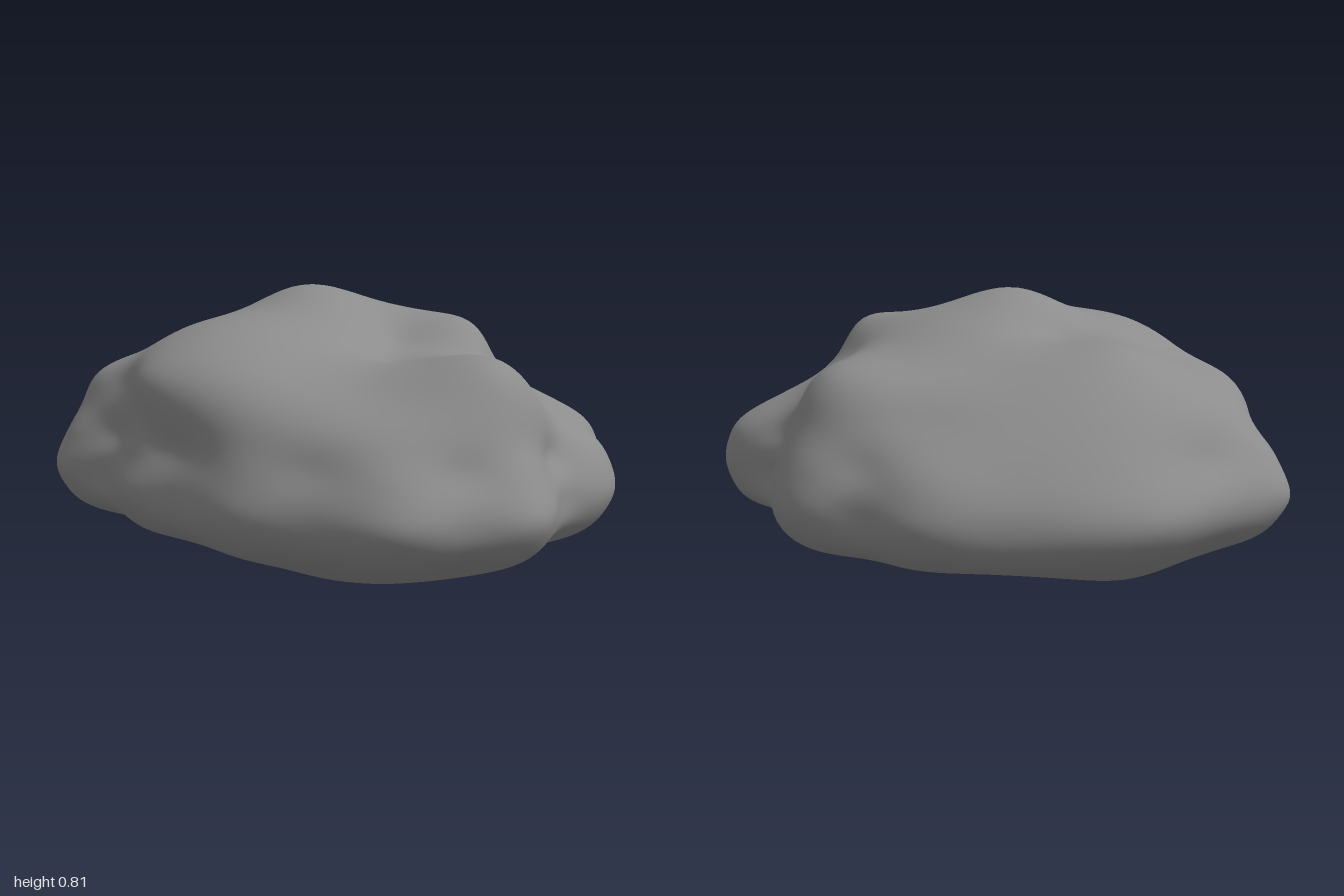
import * as THREE from 'three';
import { mergeVertices } from 'three/addons/utils/BufferGeometryUtils.js';

const CENTRE = new THREE.Vector3(0, 0.36, 0);
const RADII = new THREE.Vector3(0.76, 0.4, 0.97);

// Widest outline, x and z, clockwise from the back
const OUTLINE = [
  [0, -1], [0.18, -0.97], [0.4, -0.86], [0.6, -0.7], [0.67, -0.55], [0.75, -0.44],
  [0.78, -0.3], [0.74, -0.12], [0.68, 0.05], [0.73, 0.25], [0.7, 0.45], [0.5, 0.6],
  [0.4, 0.78], [0.23, 0.87], [0.08, 0.88], [-0.04, 0.97], [-0.15, 1], [-0.3, 0.94],
  [-0.48, 0.87], [-0.6, 0.68], [-0.71, 0.48], [-0.73, 0.33], [-0.75, 0.15], [-0.78, 0],
  [-0.74, -0.19], [-0.78, -0.39], [-0.72, -0.55], [-0.59, -0.7], [-0.51, -0.87], [-0.43, -0.91],
  [-0.24, -0.94],
];

// The side wall repeats the outline: height and scale of each level
const WALL = [[0.13, 0.9], [0.26, 1], [0.38, 0.945]];

// Humps and hollows of the upper side
const CROWN = [
  // summit and the step behind it
  [-0.05, 0.81, -0.1], [0.18, 0.75, -0.12], [-0.24, 0.75, -0.12], [-0.05, 0.765, 0.08],
  [-0.05, 0.76, -0.27], [-0.05, 0.675, -0.4], [0.05, 0.67, 0.2],
  // left shoulder
  [-0.45, 0.71, 0.08], [-0.47, 0.7, -0.12], [-0.6, 0.66, 0.05], [-0.71, 0.57, 0],
  [-0.61, 0.6, 0.28], [-0.4, 0.62, 0.38],
  // front hump
  [-0.1, 0.655, 0.68], [-0.1, 0.62, 0.48], [-0.12, 0.61, 0.83],
  [-0.35, 0.57, 0.6], [-0.48, 0.48, 0.68],
  // slanting ridge and the slope below it
  [0.25, 0.71, 0.28], [0.1, 0.62, 0.42], [0.22, 0.55, 0.48], [0.36, 0.5, 0.46],
  [0.55, 0.47, 0.3], [0.41, 0.61, 0.08], [0.57, 0.49, 0.07],
  // right shoulder
  [0.45, 0.635, -0.25], [0.58, 0.61, -0.25], [0.66, 0.53, -0.28],
  // back hump and slope
  [-0.08, 0.675, -0.58], [0.25, 0.61, -0.55], [0.48, 0.5, -0.56], [0, 0.61, -0.74],
  [0.25, 0.5, -0.76], [-0.4, 0.62, -0.4], [-0.38, 0.55, -0.68], [-0.64, 0.54, -0.4],
  [-0.66, 0.53, -0.18],
];

// Nearly flat underside
const UNDERSIDE = [
  [-0.3, 0.01, 0.4], [0, 0.03, 0.2], [0.35, 0.04, 0.35], [-0.2, 0.02, -0.1], [0.28, 0.005, -0.1],
  [0.1, 0.04, -0.4], [-0.05, 0.025, -0.65], [0.35, 0.09, -0.6], [0.58, 0.1, -0.3],
  [0.53, 0.12, 0.08], [0.2, 0.08, 0.65], [-0.15, 0.08, 0.78], [-0.53, 0.08, 0.35],
  [-0.58, 0.09, 0], [-0.53, 0.09, -0.4], [-0.33, 0.07, -0.68],
];

// Smooth falloff between two directions
const kernel = (a, b) => Math.sqrt(a.distanceToSquared(b) + 0.015);

// Solves a square system whose rows end with the right-hand side
function solve(rows) {
  const n = rows.length;
  for (let c = 0; c < n; c++) {
    let best = c;
    for (let r = c + 1; r < n; r++) if (Math.abs(rows[r][c]) > Math.abs(rows[best][c])) best = r;
    [rows[c], rows[best]] = [rows[best], rows[c]];
    for (let r = 0; r < n; r++) {
      if (r === c) continue;
      const f = rows[r][c] / rows[c][c];
      for (let k = c; k <= n; k++) rows[r][k] -= f * rows[c][k];
    }
  }
  return rows.map((row, i) => row[n] / row[i]);
}

// Swelling of the ellipsoid in any direction, passing through all the guide points
function makeSwelling() {
  const wall = WALL.flatMap(([y, s]) => OUTLINE.map(([x, z]) => [x * s, y, z * s]));
  const guides = [...wall, ...CROWN, ...UNDERSIDE].map((p) =>
    new THREE.Vector3(...p).sub(CENTRE).divide(RADII));
  const offsets = guides.map((g) => g.length() - 1);
  guides.forEach((g) => g.normalize());
  const weights = solve(guides.map((a, i) => [...guides.map((b) => kernel(a, b)), offsets[i]]));
  return (dir) => guides.reduce((sum, g, i) => sum + weights[i] * kernel(dir, g), 1);
}

export function createModel() {
  // Even sphere, each vertex pushed out to the skin
  let geometry = new THREE.IcosahedronGeometry(1, 30);
  geometry.deleteAttribute('uv');
  geometry.deleteAttribute('normal');
  geometry = mergeVertices(geometry);
  const pos = geometry.attributes.position;
  const swelling = makeSwelling();
  const v = new THREE.Vector3();
  for (let i = 0; i < pos.count; i++) {
    v.fromBufferAttribute(pos, i).normalize();
    v.multiplyScalar(swelling(v)).multiply(RADII).add(CENTRE);
    pos.setXYZ(i, v.x, v.y, v.z);
  }
  geometry.computeVertexNormals();

  const rock = new THREE.Mesh(geometry, new THREE.MeshStandardMaterial({ color: 0x8c8c8c }));
  rock.name = 'lumpyRock';
  const model = new THREE.Group();
  model.name = 'rock';
  model.add(rock);
  return model;
}
